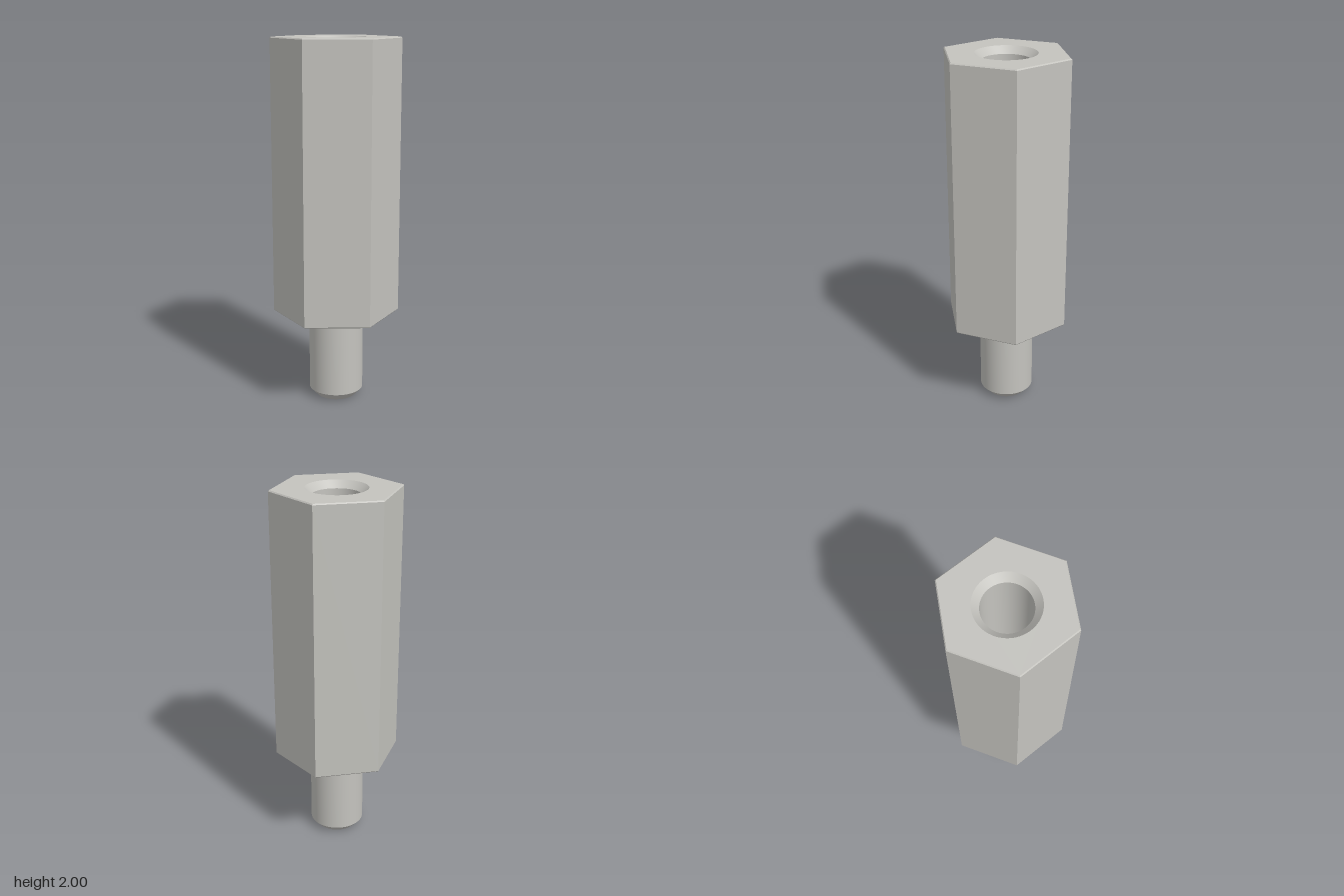
import * as THREE from 'three';
import { toCreasedNormals } from 'three/addons/utils/BufferGeometryUtils.js';

const HEX_R = 0.348;   // corner radius of the hexagon
const BASE_Y = 0.493;  // underside of the hexagon
const TOP_Y = 2;
const CHAMFER = 0.006;
const HOLE_R = 0.163;  // countersink mouth

export function createModel() {
  const group = new THREE.Group();
  group.name = 'hexStandoff';
  const metal = new THREE.MeshStandardMaterial({ color: 0xc4c3be });
  metal.name = 'satin metal';

  const add = (name, geometry) => {
    const mesh = new THREE.Mesh(geometry, metal);
    mesh.name = name;
    group.add(mesh);
  };
  // Revolved [radius, height] profile with crisp edges
  const turn = (profile, sides, start = 0) => toCreasedNormals(
    new THREE.LatheGeometry(profile.map(([r, y]) => new THREE.Vector2(r, y)), sides, start), 0.5);

  // Six-sided body with small chamfers, corners on the x axis
  add('hexBody', turn([
    [0, BASE_Y], [HEX_R - CHAMFER, BASE_Y], [HEX_R, BASE_Y + CHAMFER],
    [HEX_R, TOP_Y - CHAMFER], [HEX_R - CHAMFER, TOP_Y],
  ], 6, Math.PI / 6));

  // Top face with the round opening
  const corners = Array.from({ length: 6 }, (_, i) => new THREE.Vector2(
    Math.cos(i * Math.PI / 3), Math.sin(i * Math.PI / 3)).multiplyScalar(HEX_R - CHAMFER));
  const face = new THREE.Shape(corners);
  face.holes.push(new THREE.Path().absarc(0, 0, HOLE_R, 0, Math.PI * 2, true));
  add('topFace', new THREE.ShapeGeometry(face, 32).rotateX(-Math.PI / 2).translate(0, TOP_Y, 0));

  // Countersunk blind hole
  add('threadedHole', turn([
    [HOLE_R, TOP_Y], [0.126, TOP_Y - 0.037], [0.126, 1.2], [0, 1.2],
  ], 64));

  // Lower stud with a chamfered tip
  add('stud', turn([
    [0, 0], [0.109, 0], [0.15, 0.043], [0.15, BASE_Y],
  ], 64));

  return group;
}
